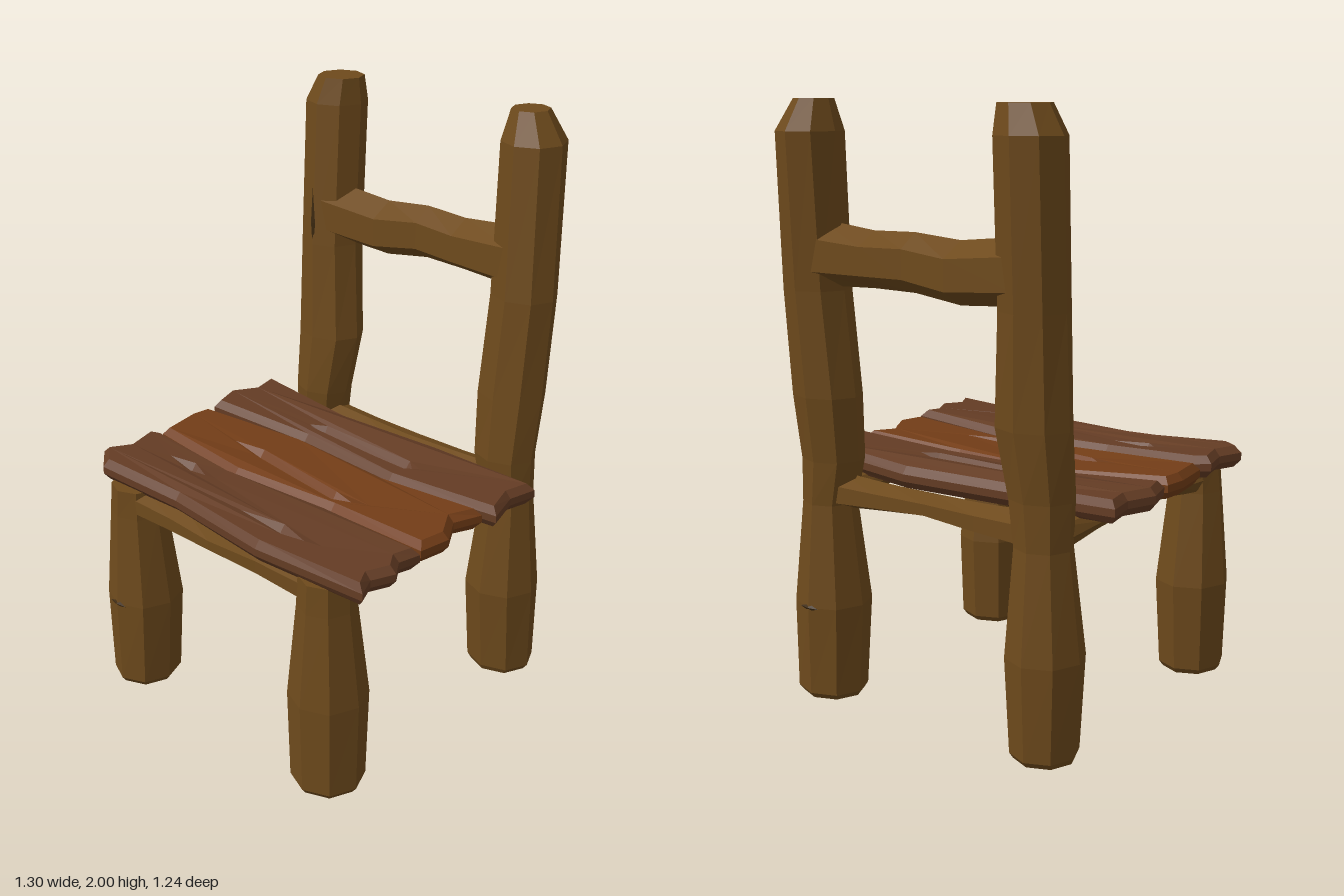
import * as THREE from 'three';

const paint = (color) => new THREE.MeshStandardMaterial({ color, flatShading: true, roughness: 0.9 });

// Faceted log along an axis (0 = x, 1 = y, 2 = z).
// Each section: [position, min and max on the next axis, min and max on the one after].
function logGeometry(axis, sides, sections) {
  const pos = [], index = [];
  const push = (t, u, v) => {
    const p = [];
    p[axis] = t;
    p[(axis + 1) % 3] = u;
    p[(axis + 2) % 3] = v;
    pos.push(...p);
  };
  const maxSin = sides === 6 ? Math.sin(Math.PI / 3) : 1;
  for (const [t, u0, u1, v0, v1] of sections) {
    for (let i = 0; i < sides; i++) {
      const a = (i / sides) * Math.PI * 2;
      push(t, (u0 + u1) / 2 + Math.cos(a) * (u1 - u0) / 2,
        (v0 + v1) / 2 + Math.sin(a) / maxSin * (v1 - v0) / 2);
    }
  }
  const last = sections.length - 1;
  for (const s of [0, last]) {
    const [t, u0, u1, v0, v1] = sections[s];
    push(t, (u0 + u1) / 2, (v0 + v1) / 2);
  }
  const start = (last + 1) * sides;
  for (let i = 0; i < sides; i++) {
    const j = (i + 1) % sides;
    for (let s = 0; s < last; s++) {
      const a = s * sides, b = a + sides;
      index.push(a + i, a + j, b + j, a + i, b + j, b + i);
    }
    index.push(start, j, i, start + 1, last * sides + i, last * sides + j);
  }
  const g = new THREE.BufferGeometry();
  g.setAttribute('position', new THREE.Float32BufferAttribute(pos, 3));
  g.setIndex(index);
  const flat = g.toNonIndexed();
  flat.computeVertexNormals();
  return flat;
}

const points = (list) => list.map(([x, z]) => new THREE.Vector2(x, z));

// Lay an extrusion flat with its top at the given height, ends curling up a little
function layAndBend(g, top, bevel, depth) {
  g.rotateX(Math.PI / 2);
  g.translate(0, top - bevel, 0);
  const p = g.attributes.position;
  for (let i = 0; i < p.count; i++) {
    p.setY(i, p.getY(i) + 0.022 * (p.getX(i) / 0.6) ** 2);
  }
  g.computeVertexNormals();
  return g;
}

export function createModel() {
  const model = new THREE.Group();
  const wood = paint(0x6e4a1c), crackWood = paint(0x3e2a10);
  const plankWood = paint(0x643c24), midWood = paint(0x733d17);

  const add = (name, geometry, material) => {
    const m = new THREE.Mesh(geometry, material);
    m.name = name;
    model.add(m);
    return m;
  };

  // Front legs
  add('rightFrontLeg', logGeometry(1, 8, [
    [0, 0.395, 0.605, -0.54, -0.34], [0.02, 0.38, 0.62, -0.555, -0.325],
    [0.33, 0.36, 0.62, -0.57, -0.31], [0.66, 0.40, 0.59, -0.54, -0.345],
    [0.76, 0.40, 0.585, -0.53, -0.35]]), wood);
  add('leftFrontLeg', logGeometry(1, 8, [
    [0, 0.395, 0.605, 0.34, 0.555], [0.02, 0.38, 0.62, 0.325, 0.57],
    [0.33, 0.36, 0.62, 0.31, 0.57], [0.66, 0.40, 0.59, 0.345, 0.535],
    [0.76, 0.40, 0.585, 0.35, 0.53]]), wood);

  // Back posts, leaning backwards above the seat
  add('rightBackPost', logGeometry(1, 8, [
    [0, -0.52, -0.32, -0.54, -0.34], [0.02, -0.535, -0.31, -0.55, -0.33],
    [0.33, -0.545, -0.29, -0.565, -0.31], [0.68, -0.515, -0.335, -0.53, -0.34],
    [0.83, -0.52, -0.325, -0.535, -0.32], [1.05, -0.55, -0.34, -0.54, -0.285],
    [1.4, -0.57, -0.36, -0.54, -0.315], [1.9, -0.605, -0.395, -0.55, -0.325],
    [1.99, -0.58, -0.42, -0.50, -0.335]]), wood);
  add('leftBackPost', logGeometry(1, 8, [
    [0, -0.52, -0.32, 0.34, 0.555], [0.02, -0.535, -0.31, 0.325, 0.57],
    [0.33, -0.545, -0.29, 0.31, 0.57], [0.68, -0.515, -0.335, 0.345, 0.53],
    [0.83, -0.52, -0.325, 0.31, 0.53], [1.05, -0.55, -0.34, 0.295, 0.54],
    [1.4, -0.57, -0.36, 0.315, 0.545], [1.9, -0.615, -0.395, 0.30, 0.515],
    [2, -0.57, -0.44, 0.325, 0.45]]), wood);

  // Backrest rail
  add('backrestRail', logGeometry(0, 6, [
    [-0.42, 1.41, 1.615, -0.56, -0.38], [-0.17, 1.395, 1.59, -0.565, -0.395],
    [0, 1.42, 1.605, -0.555, -0.42], [0.17, 1.42, 1.6, -0.555, -0.4],
    [0.42, 1.41, 1.625, -0.555, -0.38]]), wood);

  // Seat frame rails
  add('frontRail', logGeometry(0, 6, [
    [-0.43, 0.655, 0.76, 0.43, 0.56], [-0.2, 0.67, 0.76, 0.44, 0.565],
    [0, 0.69, 0.755, 0.44, 0.58], [0.2, 0.675, 0.76, 0.44, 0.565],
    [0.43, 0.655, 0.76, 0.43, 0.56]]), wood);
  add('backRail', logGeometry(0, 6, [
    [-0.43, 0.655, 0.78, -0.48, -0.335], [-0.2, 0.67, 0.77, -0.47, -0.345],
    [0, 0.69, 0.765, -0.465, -0.345], [0.2, 0.675, 0.77, -0.47, -0.345],
    [0.43, 0.655, 0.78, -0.48, -0.335]]), wood);
  for (const s of [-1, 1]) {
    const [a, b] = s < 0 ? [-0.51, -0.36] : [0.36, 0.51];
    add(s < 0 ? 'rightSideRail' : 'leftSideRail', logGeometry(2, 8, [
      [-0.43, a, b, 0.645, 0.77], [-0.2, a, b, 0.68, 0.76], [0.03, a, b, 0.697, 0.755],
      [0.25, a, b, 0.68, 0.76], [0.48, a, b, 0.64, 0.77]]), wood);
  }

  // Seat planks: rough outline with splintered ends, bevelled edges and carved grain
  const planks = [
    { name: 'backPlank', top: 0.808, material: plankWood,
      outline: [[-0.63, -0.335], [-0.21, -0.31], [0.195, -0.335], [0.635, -0.3], [0.61, -0.2],
        [0.65, -0.07], [0.215, -0.05], [-0.2, -0.075], [-0.62, -0.03], [-0.655, -0.14], [-0.61, -0.23]],
      grain: [[[-0.22, -0.155], [-0.19, -0.168], [0.2, -0.157], [0.24, -0.148], [0.21, -0.135], [-0.19, -0.147]]] },
    { name: 'middlePlank', top: 0.804, material: midWood,
      outline: [[-0.61, 0.01], [-0.2, -0.065], [0.2, -0.04], [0.605, -0.055], [0.565, 0.04],
        [0.625, 0.14], [0.605, 0.25], [0.21, 0.23], [-0.2, 0.27], [-0.595, 0.245], [-0.62, 0.09]],
      grain: [[[-0.32, 0.121], [-0.23, 0.116], [0.16, 0.168], [0.28, 0.157], [0.18, 0.178], [-0.23, 0.128]]] },
    { name: 'frontPlank', top: 0.814, material: plankWood,
      outline: [[-0.61, 0.295], [-0.56, 0.27], [-0.2, 0.285], [0.22, 0.255], [0.63, 0.285],
        [0.61, 0.36], [0.65, 0.42], [0.615, 0.495], [0.65, 0.57], [0.21, 0.575], [-0.2, 0.535],
        [-0.54, 0.56], [-0.62, 0.49], [-0.58, 0.41]],
      grain: [[[-0.38, 0.37], [-0.31, 0.364], [-0.21, 0.37], [-0.31, 0.377]],
        [[0.06, 0.46], [0.2, 0.453], [0.36, 0.462], [0.22, 0.468]]] },
  ];
  const bevel = 0.025, depth = 0.025;
  for (const { name, top, material, outline, grain } of planks) {
    const shape = new THREE.Shape(points(outline));
    grain.forEach((g) => shape.holes.push(new THREE.Path(points(g))));
    const body = new THREE.ExtrudeGeometry(shape, {
      depth, bevelThickness: bevel, bevelSize: 0.02, bevelOffset: -0.02, bevelSegments: 1 });
    add(name, layAndBend(body, top, bevel, depth), material);
    // Floor of each carved groove, closing the plank underneath
    for (const g of grain) {
      const floor = new THREE.ExtrudeGeometry(new THREE.Shape(points(g)), {
        depth: 0.035, bevelThickness: 0.004, bevelSize: 0.025, bevelSegments: 1 });
      add(name + 'GrainFloor', layAndBend(floor, top - 0.008, bevel - 0.004, 0.035), material);
    }
  }

  // Thin cracks in the logs: [x, y, z, half width, half height, half depth]
  const cracks = [
    [-0.44, 0.33, 0.615, 0.04, 0.012, 0.007],
    [-0.43, 1.48, -0.365, 0.01, 0.13, 0.006],
    [0.5, 0.5, 0.56, 0.006, 0.1, 0.01],
    [0.44, 0.33, -0.54, 0.04, 0.012, 0.007],
  ];
  for (const [x, y, z, w, h, d] of cracks) {
    const crack = add('crack', new THREE.OctahedronGeometry(1), crackWood);
    crack.position.set(x, y, z);
    crack.scale.set(w, h, d);
  }
  return model;
}
